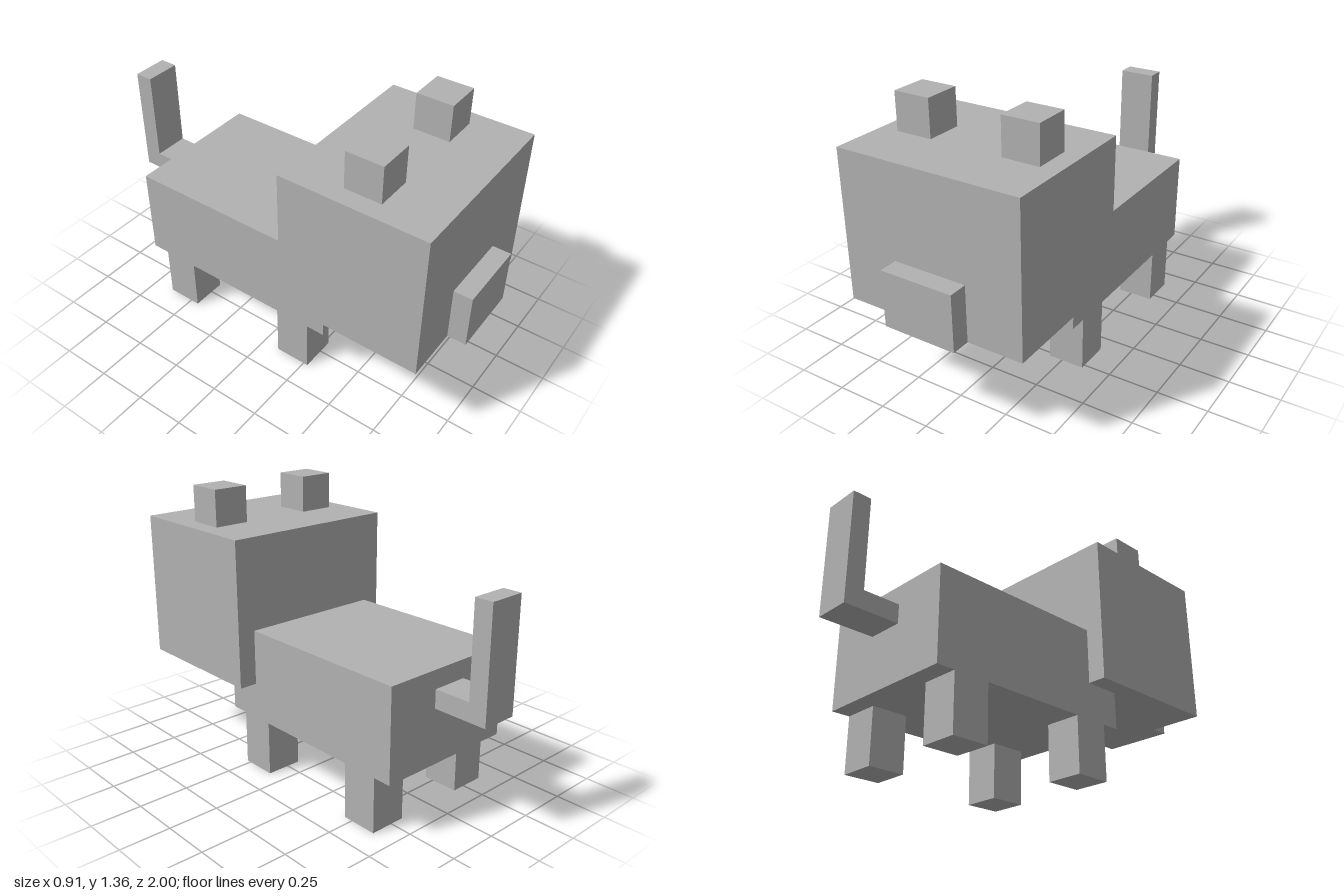
import * as THREE from 'three';

// One block of the model's grid
const U = 1 / 11;

export function createModel() {
  const model = new THREE.Group();
  model.name = 'blockyAnimal';
  const grey = new THREE.MeshStandardMaterial({ color: 0xb2b2b2 });
  grey.name = 'grey';

  // Box between two corners given in grid blocks
  function block(name, [x0, y0, z0], [x1, y1, z1]) {
    const geometry = new THREE.BoxGeometry((x1 - x0) * U, (y1 - y0) * U, (z1 - z0) * U);
    const mesh = new THREE.Mesh(geometry, grey);
    mesh.name = name;
    mesh.position.set((x0 + x1) / 2, (y0 + y1) / 2, (z0 + z1) / 2).multiplyScalar(U);
    model.add(mesh);
  }

  // Body, head and snout
  block('body', [-4, 3, -8], [4, 8, 4]);
  block('head', [-5, 5, 2], [5, 13, 10]);
  block('snout', [-2, 5, 10], [2, 8, 11]);

  // Ears and legs, mirrored left and right
  for (const [side, x] of [['left', 2], ['right', -4]]) {
    block(side + 'Ear', [x, 13, 5], [x + 2, 15, 7]);
    block(side + 'FrontLeg', [x, 0, 1], [x + 2, 3, 3]);
    block(side + 'BackLeg', [x, 0, -7], [x + 2, 3, -5]);
  }

  // L-shaped tail
  block('tailBase', [-1, 6, -10], [1, 7, -8]);
  block('tailTip', [-1, 6, -11], [1, 12, -10]);

  return model;
}
